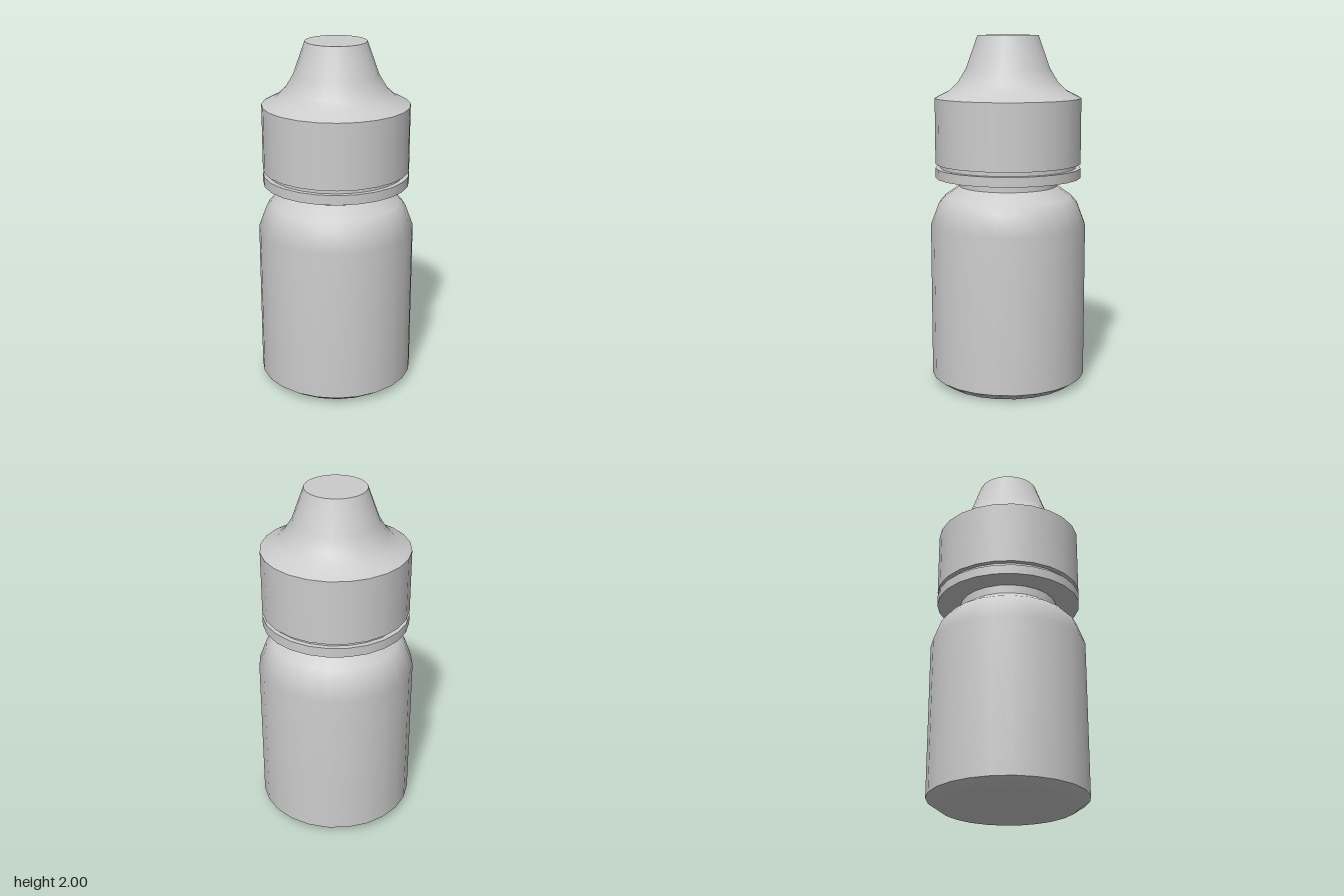
import * as THREE from 'three';

const material = new THREE.MeshStandardMaterial({ color: 0xcccccc });
const SIDES = 24;

// One smooth turned surface; profile runs from bottom to top as [radius, y].
function turned(name, profile) {
  const points = profile.map(([r, y]) => new THREE.Vector2(r, y));
  const mesh = new THREE.Mesh(new THREE.LatheGeometry(points, SIDES), material);
  mesh.name = name;
  return mesh;
}

function part(name, sections) {
  const group = new THREE.Group();
  group.name = name;
  for (const [label, profile] of sections) group.add(turned(label, profile));
  return group;
}

export function createModel() {
  const model = new THREE.Group();
  model.name = 'dropperBottle';

  // Bottle: bevelled base, straight wall with rounded shoulder, short neck
  model.add(part('bottle', [
    ['base', [[0, 0], [0.38, 0], [0.445, 0.045]]],
    ['wallAndShoulder', [[0.445, 0.045], [0.445, 0.93], [0.4, 1.05], [0.365, 1.09], [0.28, 1.15]]],
    ['neck', [[0.28, 1.15], [0.28, 1.2]]],
  ]));

  // Tamper ring below the cap, joined by a recessed band
  model.add(part('tamperRing', [
    ['ringUnderside', [[0.28, 1.2], [0.415, 1.2]]],
    ['ringWall', [[0.415, 1.2], [0.415, 1.255]]],
    ['ringTop', [[0.415, 1.255], [0.387, 1.255]]],
    ['recessedBand', [[0.387, 1.255], [0.387, 1.28]]],
  ]));

  // Cap: straight grip, flared spout cover and flat tip
  model.add(part('cap', [
    ['capUnderside', [[0.387, 1.28], [0.415, 1.28]]],
    ['capWall', [[0.415, 1.28], [0.415, 1.65]]],
    ['capSpout', [[0.415, 1.65], [0.333, 1.692], [0.285, 1.738], [0.238, 1.815], [0.172, 2]]],
    ['capTip', [[0.172, 2], [0, 2]]],
  ]));

  return model;
}
